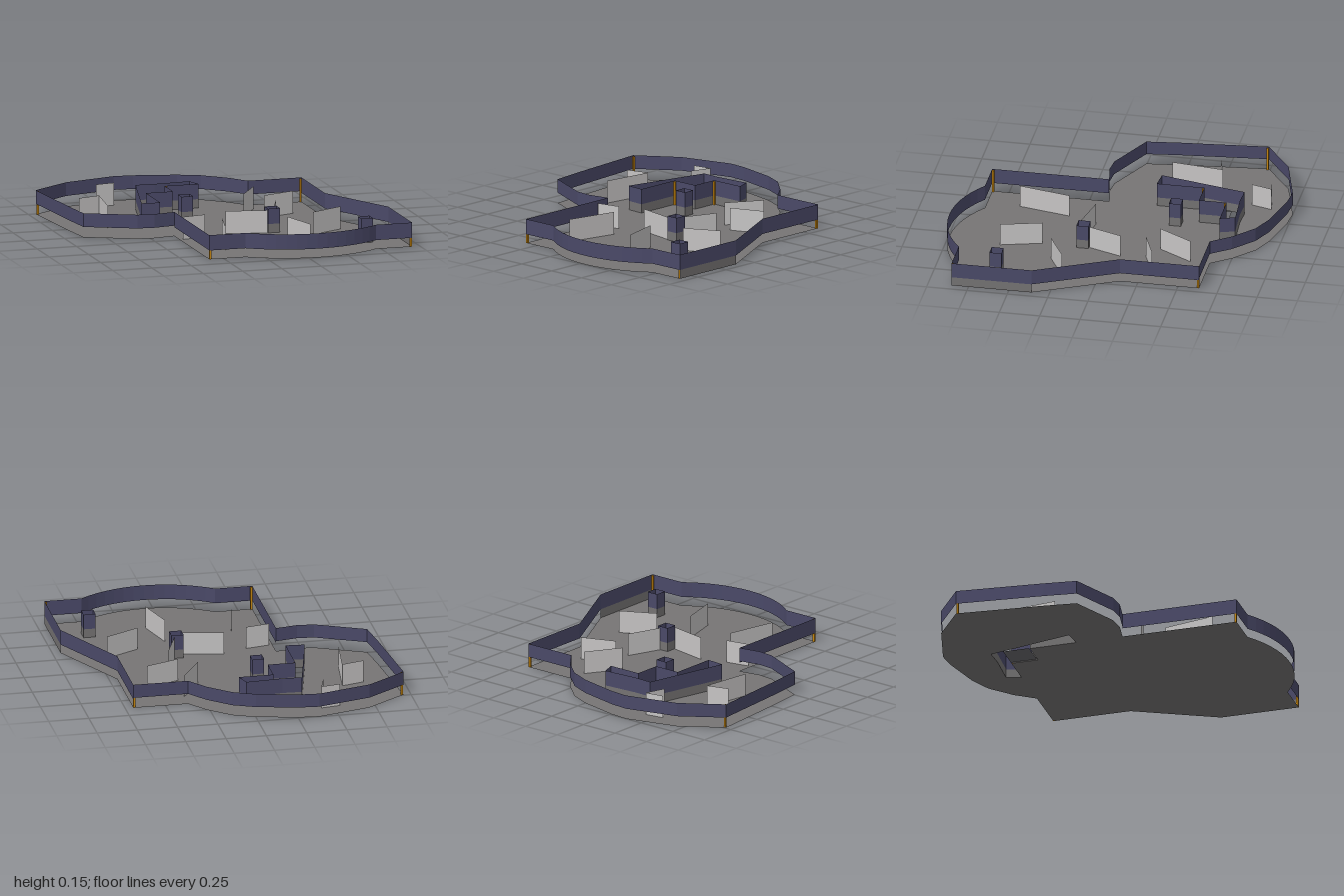
import * as THREE from 'three';

const mat = (name, color) => new THREE.MeshStandardMaterial({ name, color, side: THREE.DoubleSide });

export function createModel() {
  const root = new THREE.Group();
  root.name = 'arenaMap';
  const floorGrey = mat('floor grey', 0x777575);
  const wallBlue = mat('wall blue', 0x4a4968);
  const baseGrey = mat('base grey', 0x747272);
  const panelGrey = mat('panel light grey', 0xc6c4c4);
  const postOrange = mat('post orange', 0xc8860c);
  const plateGrey = mat('plate grey', 0x68686c);
  const TOP = 0.15, SPLIT = 0.055;

  const group = (name) => {
    const g = new THREE.Group();
    g.name = name;
    root.add(g);
    return g;
  };

  // Upright sheet between two plan points [x, z], from y0 to y1
  const sheet = (parent, name, a, b, y0, y1, material) => {
    const dx = b[0] - a[0], dz = b[1] - a[1];
    const m = new THREE.Mesh(new THREE.PlaneGeometry(Math.hypot(dx, dz), y1 - y0), material);
    m.name = name;
    m.position.set((a[0] + b[0]) / 2, (y0 + y1) / 2, (a[1] + b[1]) / 2);
    m.rotation.y = Math.atan2(-dz, dx);
    parent.add(m);
  };

  // Two-tone wall: grey base with blue band above
  const twoTone = (parent, a, b) => {
    sheet(parent, 'wallBase', a, b, 0, SPLIT, baseGrey);
    sheet(parent, 'wallBand', a, b, SPLIT, TOP, wallBlue);
  };
  const ring = (pts, fn) => pts.forEach((p, i) => fn(p, pts[(i + 1) % pts.length]));

  // Floor outline: main hall with curved front bay, plus the side lobe
  const outline = [
    [0.95, 0.855], [0.95, 0.36], [0.70, -0.14], [0.70, -0.63], [0.36, -0.63],
    [0.27, -0.75], [0.135, -0.87], [0, -0.93], [-0.26, -0.99], [-0.38, -1],
    [-0.71, -0.91], [-0.955, -0.74], [-0.905, -0.2], [-0.88, 0.005],
    [-0.58, 0.145], [-0.475, 0.155], [-0.34, 0.13], [-0.34, 0.855],
  ];
  const R = 0.685, half = Math.asin(0.415 / R), steps = 14;
  for (let i = 0; i <= steps; i++) {
    const t = -half + (2 * half * i) / steps;
    outline.push([0.305 + R * Math.sin(t), 0.31 + R * Math.cos(t)]);
  }
  const hole = [
    [-0.33, -0.71], [-0.21, -0.705], [0.015, -0.72], [0.045, -0.63], [-0.17, -0.63],
    [-0.17, -0.46], [-0.34, -0.46], [-0.34, -0.165], [-0.455, -0.175],
  ];
  const toVec = ([x, z]) => new THREE.Vector2(x, -z);
  const shape = new THREE.Shape(outline.map(toVec));
  shape.holes.push(new THREE.Path(hole.map(toVec)));
  const floor = new THREE.Mesh(new THREE.ShapeGeometry(shape).rotateX(-Math.PI / 2), floorGrey);
  floor.name = 'floor';
  root.add(floor);

  // Raised perimeter band, open below
  const perimeter = group('perimeterWall');
  ring(outline, (a, b) => {
    const lobe = (p) => p[0] < -0.33 && p[1] < 0.2 || p[1] < -0.6;
    sheet(perimeter, 'perimeterBand', a, b, lobe(a) && lobe(b) ? 0.065 : SPLIT, TOP, wallBlue);
  });
  sheet(perimeter, 'sideWallBase', [0.95, 0.855], [0.95, 0.36], 0, SPLIT, baseGrey);

  // Walls around the opening, and the small room in its corner
  const inner = group('openingWalls');
  ring(hole, (a, b) => twoTone(inner, a, b));
  const plate = new THREE.Mesh(new THREE.PlaneGeometry(0.165, 0.165).rotateX(-Math.PI / 2), plateGrey);
  plate.name = 'roomFloor';
  plate.position.set(-0.2605, 0.002, -0.5475);
  root.add(plate);

  // Hollow square pillars
  for (const [x, z] of [[-0.13, -0.325], [0.27, 0.17], [0.725, 0.62]]) {
    const g = group('pillar'), r = 0.037;
    ring([[x - r, z - r], [x + r, z - r], [x + r, z + r], [x - r, z + r]], (a, b) => twoTone(g, a, b));
  }

  // Free-standing partitions
  const panels = group('partitions');
  for (const [x0, z0, x1, z1] of [
    [0.48, 0.33, 0.69, 0.22],
    [0.36, 0.67, 0.29, 0.42],
    [0.34, -0.23, 0.55, -0.31],
    [0.23, -0.30, 0.36, -0.51],
    [-0.02, 0.15, 0.23, 0.20],
    [0.29, 0.13, 0.37, -0.08],
    [-0.17, 0.65, -0.10, 0.33],
    [-0.32, 0.24, -0.17, 0.21],
    [-0.66, -0.20, -0.62, -0.52],
    [-0.76, -0.48, -0.62, -0.52],
    [-0.46, -0.73, -0.42, -0.86],
    [-0.54, -0.84, -0.42, -0.86],
  ]) sheet(panels, 'partition', [x0, z0], [x1, z1], 0, 0.14, panelGrey);

  // Corner posts, each tucked against its two walls
  for (const [x, z] of [
    [-0.333, 0.848], [0.943, 0.848], [0.693, -0.623],
    [-0.163, -0.623], [-0.333, -0.453], [-0.944, -0.734],
  ]) {
    const post = new THREE.Mesh(new THREE.BoxGeometry(0.012, 0.145, 0.012), postOrange);
    post.name = 'cornerPost';
    post.position.set(x, 0.0725, z);
    root.add(post);
  }
  return root;
}
